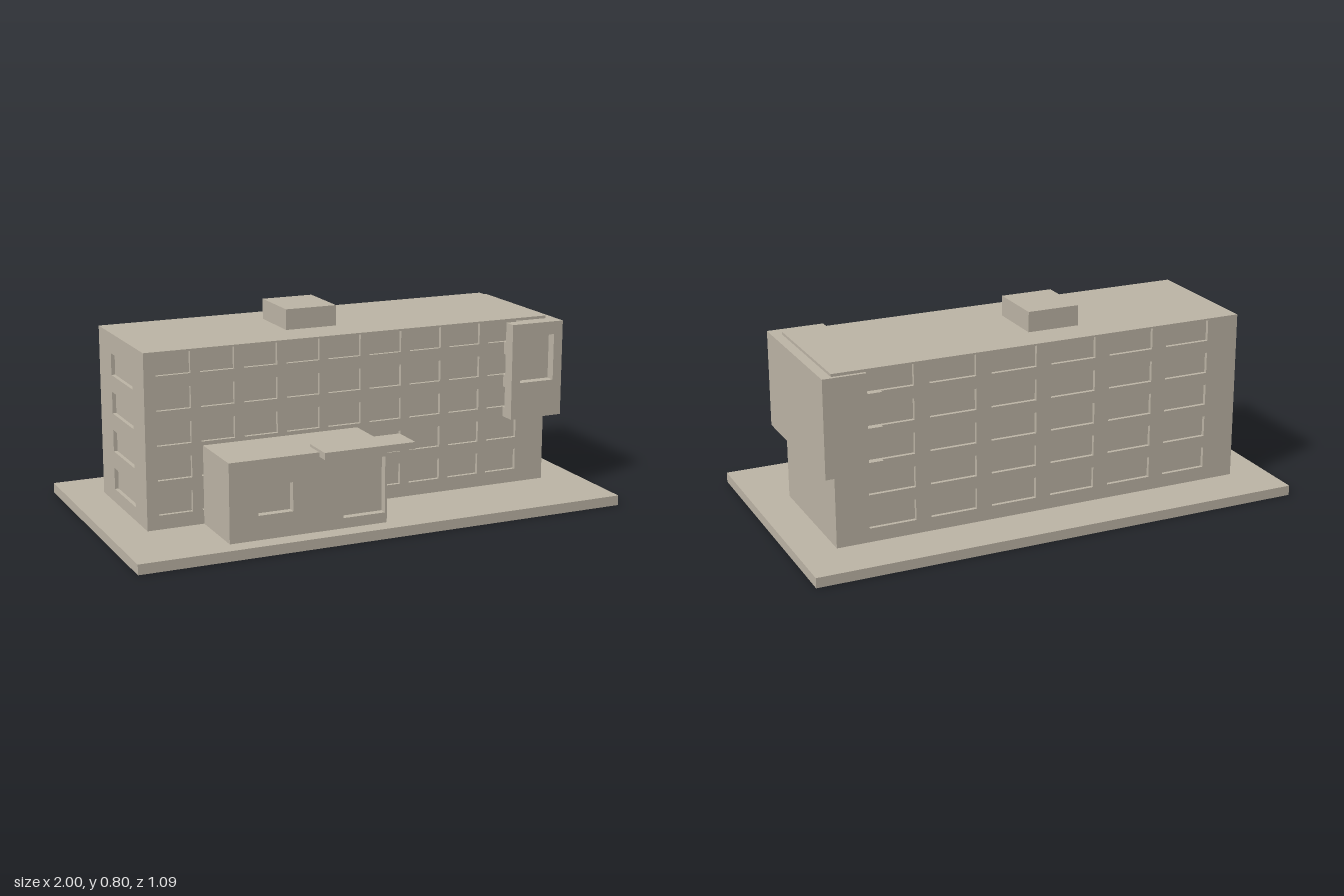
import * as THREE from 'three';

const concrete = new THREE.MeshStandardMaterial({ color: 0xbdb5a6 });
concrete.name = 'concrete';

// Box given by its min and max corners
function box(name, x0, x1, y0, y1, z0, z1) {
  const g = new THREE.BoxGeometry(x1 - x0, y1 - y0, z1 - z0);
  g.translate((x0 + x1) / 2, (y0 + y1) / 2, (z0 + z1) / 2);
  const m = new THREE.Mesh(g, concrete);
  m.name = name;
  return m;
}

const rect = ([x0, x1, y0, y1]) =>
  [[x0, y0], [x1, y0], [x1, y1], [x0, y1]].map(([x, y]) => new THREE.Vector2(x, y));

// Upright slab from z0 to z1 with an outline and rectangular holes
function panel(name, outline, holes, z0, z1) {
  const shape = new THREE.Shape(outline);
  for (const h of holes) shape.holes.push(new THREE.Path(rect(h).reverse()));
  const g = new THREE.ExtrudeGeometry(shape, { depth: z1 - z0, bevelEnabled: false });
  g.translate(0, 0, z0);
  const m = new THREE.Mesh(g, concrete);
  m.name = name;
  return m;
}

// Regular grid of openings
function openings(cols, firstX, pitchX, w, rows, firstY, pitchY, h) {
  const list = [];
  for (let c = 0; c < cols; c++)
    for (let r = 0; r < rows; r++) {
      const x = firstX + c * pitchX, y = firstY + r * pitchY;
      list.push([x, x + w, y, y + h]);
    }
  return list;
}

const X0 = -0.85, X1 = 0.846, Z0 = -0.34, Z1 = 0.206, Y0 = 0.04, Y1 = 0.72;
const D = 0.015; // window recess
const ROW0 = 0.095, ROW = 0.1335, WIN_H = 0.084;

function mainBuilding() {
  const g = new THREE.Group();
  g.name = 'mainBuilding';
  g.add(box('core', X0 + D, X1, Y0, Y1, Z0 + D, Z1 - D));
  const wall = rect([X0, X1, Y0, Y1]);
  g.add(panel('frontWall', wall, openings(9, -0.804, 0.1735, 0.135, 5, ROW0, ROW, WIN_H), Z1 - D, Z1));
  g.add(panel('backWall', wall, openings(6, -0.717, 0.249, 0.187, 5, ROW0, ROW, WIN_H), Z0, Z0 + D));
  // End wall: drawn in the xy plane, then turned to face -x
  const end = panel('endWall', rect([Z0 + D, Z1 - D, Y0, Y1]), openings(1, -0.19, 0, 0.26, 4, ROW0, 0.153, 0.086), 0, D);
  end.rotation.y = -Math.PI / 2;
  end.position.x = X0 + D;
  g.add(end);
  return g;
}

// Overhanging block, notched where the window recesses run into it
function overhang() {
  const g = new THREE.Group();
  g.name = 'overhangBlock';
  const x0 = 0.657, x1 = 0.885, y0 = 0.323, y1 = 0.709, zb = -0.354, zf = 0.274;
  const comb = (depthX) => {
    const p = [[x1, y1], [x1, y0], [x0, y0]];
    for (let r = 2; r < 5; r++) {
      const a = ROW0 + r * ROW, b = Math.min(a + WIN_H, y1);
      p.push([x0, a], [depthX, a], [depthX, b]);
      if (b < y1) p.push([x0, b]);
    }
    return p.reverse().map(([x, y]) => new THREE.Vector2(x, y));
  };
  g.add(panel('notchedBack', comb(0.715), [], zb, Z0));
  g.add(box('outerSide', X1, x1, y0, y1, Z0, Z1));
  g.add(panel('notchedFront', comb(0.719), [], Z1, Z1 + D));
  g.add(box('frontCore', x0, x1, y0, y1, Z1 + D, zf - 0.04));
  g.add(panel('frontFrame', rect([x0, x1, y0, y1]), [[0.696, 0.846, 0.47, 0.657]], zf - 0.04, zf));
  return g;
}

function entrance() {
  const g = new THREE.Group();
  g.name = 'entrance';
  const x0 = -0.625, x1 = 0.011, y1 = 0.347, zf = 0.473, d = 0.03;
  g.add(box('entranceCore', x0, x1, Y0, y1, Z1, zf - d));
  g.add(panel('entranceFront', rect([x0, x1, Y0, y1]),
    [[-0.512, -0.373, 0.134, 0.246], [-0.17, 0.003, 0.08, 0.3]], zf - d, zf));
  g.add(box('canopy', -0.267, 0.104, 0.33, 0.357, 0.388, 0.522));
  return g;
}

export function createModel() {
  const model = new THREE.Group();
  model.name = 'officeBuilding';
  model.add(box('basePlate', -1, 1, 0, Y0, -0.545, 0.545));
  model.add(mainBuilding(), overhang(), entrance());
  model.add(box('roofHousing', -0.215, -0.004, Y1, 0.801, -0.2, 0.04));
  return model;
}
